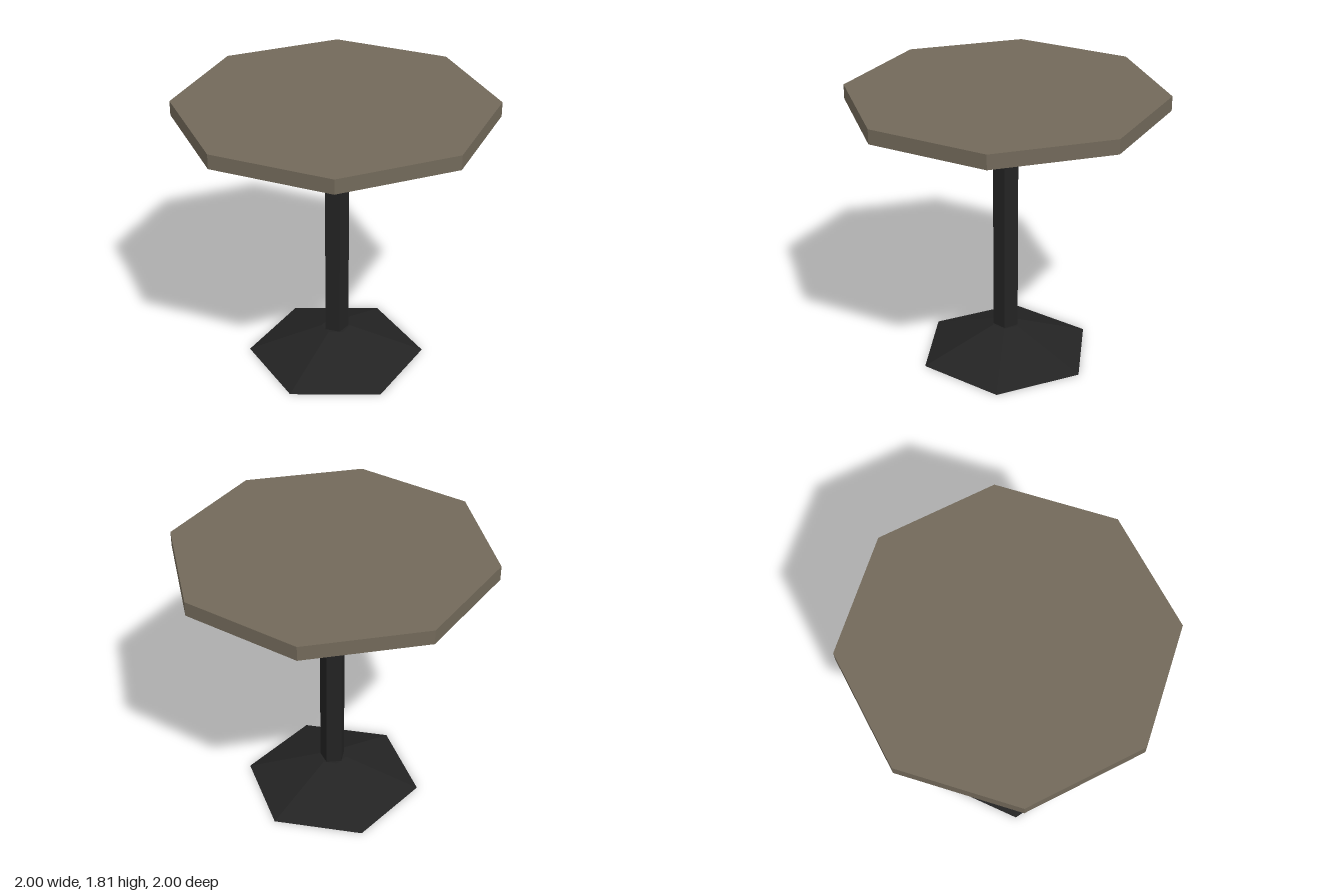
import * as THREE from 'three';

export function createModel() {
  const model = new THREE.Group();
  model.name = 'pedestalTable';

  const wood = new THREE.MeshStandardMaterial({ color: 0x72695a, flatShading: true });
  wood.name = 'weatheredWood';
  const metal = new THREE.MeshStandardMaterial({ color: 0x232323, flatShading: true });
  metal.name = 'blackMetal';

  // Upright prism or frustum between two heights, with a corner on the x axis
  const addPrism = (name, topRadius, bottomRadius, y0, y1, sides, material) => {
    const geometry = new THREE.CylinderGeometry(
      topRadius, bottomRadius, y1 - y0, sides, 1, false, Math.PI / 2);
    const mesh = new THREE.Mesh(geometry, material);
    mesh.name = name;
    mesh.position.y = (y0 + y1) / 2;
    model.add(mesh);
  };

  addPrism('foot', 0.092, 0.575, 0, 0.195, 6, metal);
  addPrism('post', 0.083, 0.083, 0.19, 1.725, 5, metal);
  addPrism('tableTop', 1, 1, 1.72, 1.812, 8, wood);

  return model;
}
